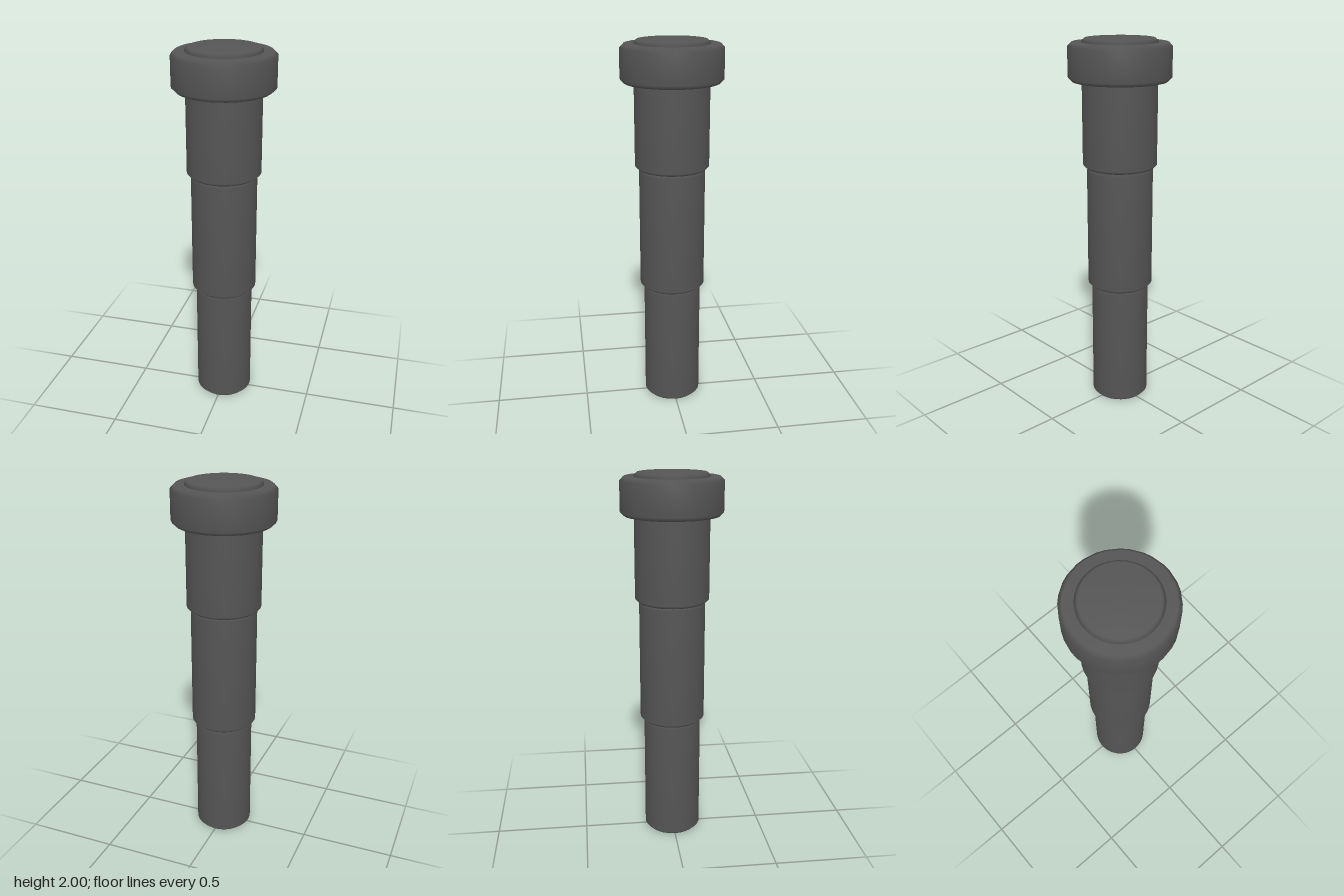
import * as THREE from 'three';

const SIDES = 16; // each corner is chamfered, giving 32 facets
const STEP = (Math.PI * 2) / SIDES;

// Solid round drum with chamfered rims and chamfered vertical corners.
// cornerHalf is the half angle of each corner chamfer.
function drum(name, radius, y0, y1, bevel, cornerHalf, material) {
  const profile = [
    [0, y0], [radius - bevel, y0], [radius, y0 + bevel],
    [radius, y1 - bevel], [radius - bevel, y1], [0, y1],
  ].map(([x, y]) => new THREE.Vector2(x, y));
  const geometry = new THREE.LatheGeometry(profile, SIDES * 2, -STEP / 4);

  // Narrow or widen the corner chamfers by turning every other column
  const shift = STEP / 4 - cornerHalf;
  const axis = new THREE.Vector3(0, 1, 0);
  const v = new THREE.Vector3();
  for (const key of ['position', 'normal']) {
    const attribute = geometry.attributes[key];
    for (let i = 0; i < attribute.count; i++) {
      const column = Math.floor(i / profile.length);
      v.fromBufferAttribute(attribute, i).applyAxisAngle(axis, column % 2 ? -shift : shift);
      attribute.setXYZ(i, v.x, v.y, v.z);
    }
  }
  const mesh = new THREE.Mesh(geometry, material);
  mesh.name = name;
  return mesh;
}

export function createModel() {
  const model = new THREE.Group();
  model.name = 'steppedPin';
  const material = new THREE.MeshStandardMaterial({ color: 0x555555 });

  // Three stepped shaft sections, widening upward
  [['lowerShaft', 0.155], ['middleShaft', 0.176], ['upperShaft', 0.197]].forEach(([name, radius], i) => {
    model.add(drum(name, radius, (i * 2) / 3, ((i + 1) * 2) / 3, 0.016, STEP / 4, material));
  });

  // Wide collar just below the top
  model.add(drum('collar', 0.268, 1.785, 1.98, 0.02, 0.075, material));
  return model;
}
